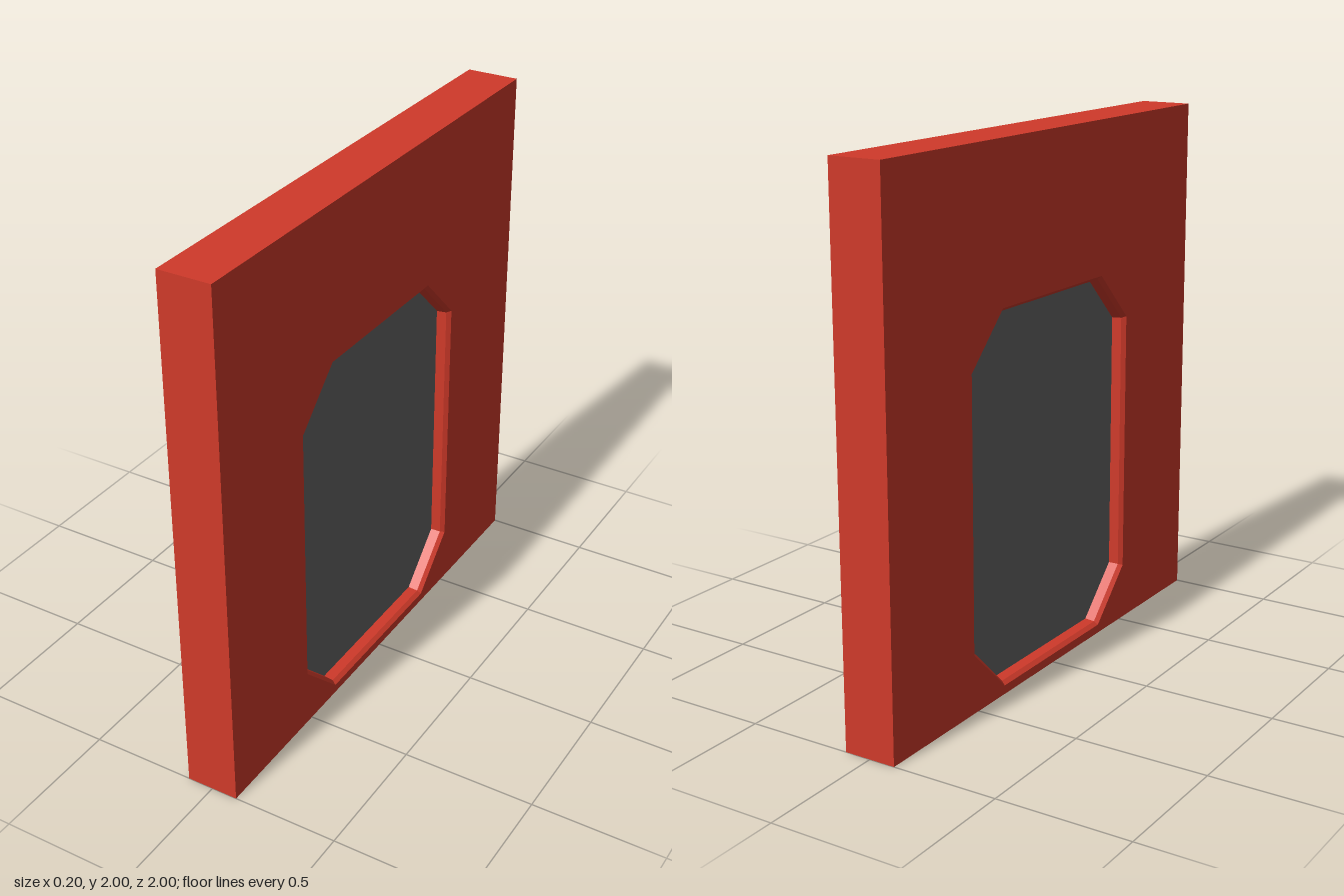
import * as THREE from 'three';

const HALF = 0.1; // half thickness of the wall

// Octagonal opening outline (counter-clockwise), grown outward by g
function opening(g) {
  const w = 0.508 + g, w2 = 0.326 + g * 0.41;
  const top = 1.406 + g, top2 = 1.227 + g * 0.41;
  const bot = 0.05 - g, bot2 = 0.228 - g * 0.41;
  return [[w, bot2], [w, top2], [w2, top], [-w2, top], [-w, top2], [-w, bot2], [-w2, bot], [w2, bot]]
    .map(([u, y]) => new THREE.Vector2(u, y));
}

const square = [[-1, 0], [1, 0], [1, 2], [-1, 2]].map(([u, y]) => new THREE.Vector2(u, y));

// Flat-shaded skin through matching outlines, each placed at a depth
function loft(rows) {
  const pos = [];
  const put = ([outline, depth], i) => {
    const p = outline[i % outline.length];
    pos.push(depth, p.y, -p.x);
  };
  for (let r = 0; r + 1 < rows.length; r++) {
    const a = rows[r], b = rows[r + 1];
    for (let i = 0; i < a[0].length; i++) {
      put(a, i); put(a, i + 1); put(b, i + 1);
      put(a, i); put(b, i + 1); put(b, i);
    }
  }
  const geo = new THREE.BufferGeometry();
  geo.setAttribute('position', new THREE.Float32BufferAttribute(pos, 3));
  geo.computeVertexNormals();
  return geo;
}

// Flat sheet facing +x at a depth
function sheet(outline, depth, hole) {
  const shape = new THREE.Shape(outline);
  if (hole) shape.holes.push(new THREE.Path(hole));
  return new THREE.ShapeGeometry(shape).rotateY(Math.PI / 2).translate(depth, 0, 0);
}

export function createModel() {
  const model = new THREE.Group();
  model.name = 'wallPanel';
  const red = new THREE.MeshStandardMaterial({ color: 0xd03a2a });
  const grey = new THREE.MeshStandardMaterial({ color: 0x666666 });

  const add = (parent, name, geo, mat) => {
    const mesh = new THREE.Mesh(geo, mat);
    mesh.name = name;
    parent.add(mesh);
  };

  // Outer edges of the wall
  add(model, 'wallEdges', loft([[square, -HALF], [square, HALF]]), red);

  // Both faces: wall surface, chamfered recess and inset panel
  const rim = opening(0.017), throat = opening(0.004), inner = opening(0);
  const inset = HALF - 0.053;
  ['right', 'left'].forEach((side, k) => {
    const face = new THREE.Group();
    face.name = side + 'Face';
    add(face, 'wallSurface', sheet(square, HALF, rim), red);
    add(face, 'recessRim', loft([[rim, HALF], [throat, HALF - 0.015], [inner, inset]]), red);
    add(face, 'insetPanel', sheet(inner, inset), grey);
    face.rotation.y = k * Math.PI;
    model.add(face);
  });
  return model;
}
